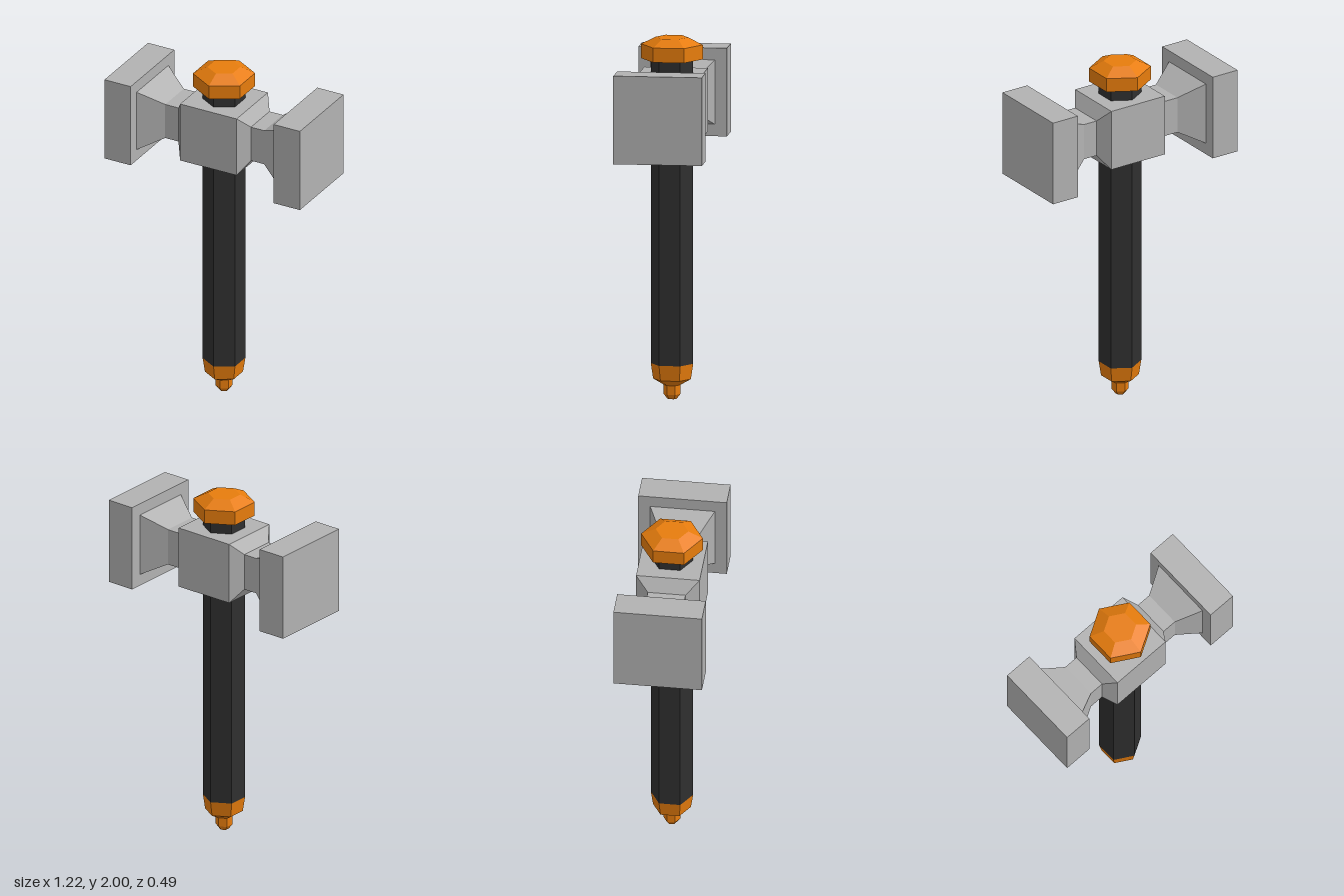
import * as THREE from 'three';

const mat = (name, color) => {
  const m = new THREE.MeshStandardMaterial({ color, flatShading: true });
  m.name = name;
  return m;
};

// Faceted solid swept around y from [radius, height] pairs, listed bottom to top
function faceted(name, profile, sides, start, material) {
  const points = profile.map(([r, y]) => new THREE.Vector2(r, y));
  const geometry = new THREE.LatheGeometry(points, sides, start).toNonIndexed();
  geometry.computeVertexNormals();
  const mesh = new THREE.Mesh(geometry, material);
  mesh.name = name;
  return mesh;
}

export function createModel() {
  const steel = mat('steel grey', 0xb2b2b2);
  const grip = mat('grip black', 0x2f2f2f);
  const orange = mat('orange', 0xe87d0d);

  const model = new THREE.Group();
  model.name = 'warHammer';

  // Hexagonal handle running through the head
  model.add(faceted('handle', [[0, 0.195], [0.117, 0.195], [0.117, 1.88], [0, 1.88]], 6, 0, grip));

  // Stepped tip at the foot of the handle
  model.add(faceted('footTip', [
    [0, 0], [0.026, 0], [0.046, 0.026], [0.046, 0.077],
    [0.104, 0.11], [0.117, 0.195], [0, 0.195],
  ], 6, 0, orange));

  // Bevelled hexagonal cap on top
  model.add(faceted('topCap', [[0, 1.88], [0.17, 1.88], [0.17, 1.96], [0.09, 2], [0, 2]], 6, 0, orange));

  // Square-section head along x: [half width, distance from centre]
  const half = [
    [0.175, 0.177], [0.104, 0.227], [0.104, 0.31], [0.178, 0.448],
    [0.244, 0.448], [0.244, 0.612], [0, 0.612],
  ];
  const profile = [...half.map(([r, d]) => [r, -d]).reverse(), ...half]
    .map(([r, d]) => [r * Math.SQRT2, d]);
  const head = faceted('head', profile, 4, Math.PI / 4, steel);
  head.rotation.z = -Math.PI / 2;
  head.position.y = 1.63;
  model.add(head);

  return model;
}
